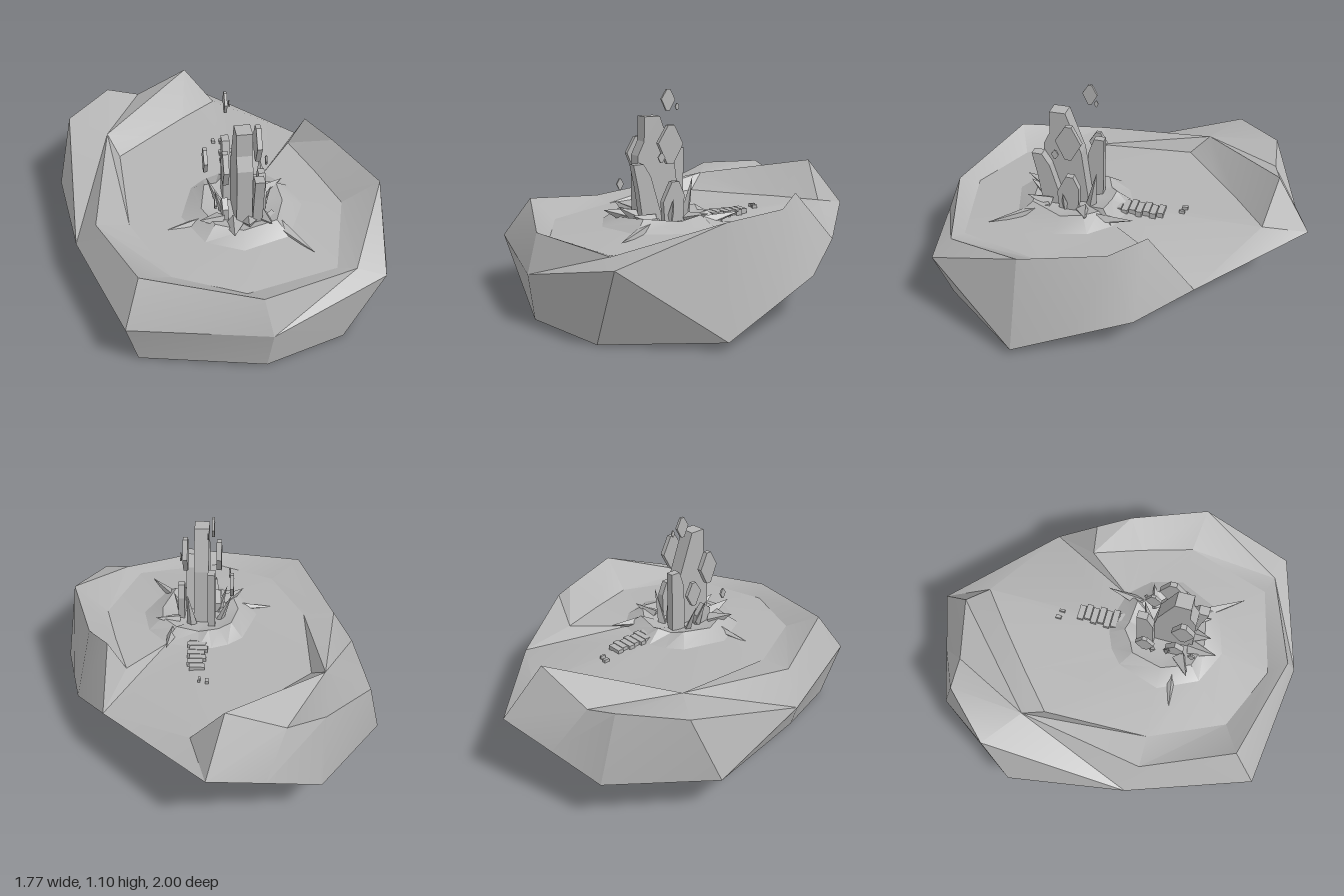
import * as THREE from 'three';
import { toCreasedNormals } from 'three/addons/utils/BufferGeometryUtils.js';

const stone = new THREE.MeshStandardMaterial({ color: 0xb4b4b4, side: THREE.DoubleSide });
stone.name = 'grey stone';

// Loops of thirteen stations: back, left, front, right, back corner
const back = [-0.02, 0.385, -1];
const corner = [0.53, 0.335, -0.505];
const peak = [-0.1, 0.645, -0.815];
const dip = [-0.39, 0.525, -0.77];
const shoulder = [-0.57, 0.585, -0.75];
const ridgeEnd = [-0.59, 0.535, -0.36];
const rightSide = [[0.8, 0.565, 0.305], [0.65, 0.555, -0.1], [0.525, 0.6, -0.265], corner];

const base = [back, back, [-0.3, 0.308, -0.92], [-0.57, 0.235, -0.845], [-0.885, 0.205, -0.38],
  [-0.665, 0.055, 0.38], [-0.52, 0, 0.82], [0.1, 0.02, 0.965], [0.52, 0, 0.82],
  [0.885, 0.04, 0.345], [0.8, 0.13, 0.05], [0.715, 0.22, -0.245], corner];
const ledge = [back, peak, dip, shoulder, [-0.8, 0.56, -0.51], [-0.795, 0.28, 0.255],
  [-0.57, 0.295, 0.9], [0.12, 0.255, 1], [0.705, 0.39, 0.81], ...rightSide];
const rim = [back, peak, dip, shoulder, ridgeEnd, [-0.68, 0.44, 0.3],
  [-0.49, 0.5, 0.77], [0.08, 0.445, 0.935], [0.567, 0.415, 0.767], ...rightSide];
const crest = rim.map((p) => (p === dip || p === shoulder ? ridgeEnd : p));
const foot = [back, [0.066, 0.435, -0.765], [-0.14, 0.44, -0.6], [-0.34, 0.44, -0.43], [-0.53, 0.445, -0.26],
  [-0.51, 0.42, 0.3], [-0.33, 0.405, 0.69], [0.015, 0.4, 0.845], [0.48, 0.395, 0.73],
  [0.615, 0.42, 0.275], [0.53, 0.43, 0], [0.435, 0.44, -0.265], corner];
const floorEdge = foot.slice(1);

// Ring round the mound, turned toward the stations of the floor edge
const cx = 0.08, cz = 0.26;
const moundRing = (r, y, wave) => floorEdge.map(([x, , z], i) => {
  const d = Math.hypot(x - cx, z - cz), s = i % 2 ? wave : -wave;
  return [cx + ((x - cx) / d) * (r + s), y + s, cz + ((z - cz) / d) * (r + s)];
});

// Triangle strip between two loops; listed stations use the other diagonal
function strip(outer, inner, closed, flipped = []) {
  const out = [];
  const add = (a, b, c) => {
    if (a !== b && b !== c && a !== c) out.push(...a, ...b, ...c);
  };
  const n = outer.length;
  for (let i = 0; i < (closed ? n : n - 1); i++) {
    const j = (i + 1) % n;
    if (flipped.includes(i)) {
      add(outer[i], outer[j], inner[i]);
      add(outer[j], inner[j], inner[i]);
    } else {
      add(outer[i], outer[j], inner[j]);
      add(outer[i], inner[j], inner[i]);
    }
  }
  return out;
}

function surface(name, positions, crease = 0.45) {
  const g = new THREE.BufferGeometry();
  g.setAttribute('position', new THREE.Float32BufferAttribute(positions, 3));
  const mesh = new THREE.Mesh(toCreasedNormals(g, crease), stone);
  mesh.name = name;
  return mesh;
}

// Slab with a (z, y) outline, w thick across x
function slab(name, x, w, outline) {
  const shape = new THREE.Shape(outline.map(([z, y]) => new THREE.Vector2(z, y)));
  const g = new THREE.ExtrudeGeometry(shape, { depth: w, bevelEnabled: false });
  g.rotateY(-Math.PI / 2).translate(x + w / 2, 0, 0);
  const mesh = new THREE.Mesh(g, stone);
  mesh.name = name;
  return mesh;
}

// Flat-sided spike running from one point to another
function spike(name, from, to, radius) {
  const a = new THREE.Vector3(...from), b = new THREE.Vector3(...to);
  const dir = b.clone().sub(a);
  const g = new THREE.ConeGeometry(radius, dir.length(), 4).toNonIndexed();
  g.computeVertexNormals();
  const mesh = new THREE.Mesh(g, stone);
  mesh.position.copy(a).add(b).multiplyScalar(0.5);
  mesh.quaternion.setFromUnitVectors(new THREE.Vector3(0, 1, 0), dir.normalize());
  mesh.name = name;
  return mesh;
}

export function createModel() {
  const model = new THREE.Group();
  model.name = 'rockIsland';

  // Open-bottomed rock shell
  model.add(surface('outerWall', strip(base, ledge, false, [7, 8, 9, 10, 11])));
  model.add(surface('rimTop', [...strip(ledge, rim, false, [4]),
    ...shoulder, ...ridgeEnd, ...dip, ...dip, ...ridgeEnd, ...peak]));
  model.add(surface('innerSlope', strip(crest, foot, false)));

  // Floor and central mound with a sunken middle
  const low = moundRing(0.32, 0.425, 0), high = moundRing(0.225, 0.475, 0.01);
  const pit = moundRing(0.13, 0.445, 0);
  const centre = pit.map(() => [cx, 0.44, cz]);
  model.add(surface('floor', [...strip(floorEdge, low, true), ...corner, ...back, ...floorEdge[0]]));
  model.add(surface('mound', [...strip(low, high, true), ...strip(high, pit, true), ...strip(pit, centre, true)]));

  // Standing crystals
  const crystals = new THREE.Group();
  crystals.name = 'standingCrystals';
  crystals.add(
    slab('mainCrystal', 0.07, 0.08, [[0.41, 0.4], [0.16, 0.4], [0.2, 0.75], [0.28, 0.975], [0.365, 0.975], [0.37, 0.85], [0.405, 0.78]]),
    slab('backCrystal', 0.01, 0.04, [[0.2, 0.4], [0.11, 0.4], [0.1, 0.795], [0.155, 0.795], [0.19, 0.7]]),
    slab('frontCrystal', 0.138, 0.05, [[0.4, 0.4], [0.28, 0.4], [0.36, 0.68], [0.4, 0.745], [0.455, 0.745], [0.43, 0.62]]),
    slab('rightCrystal', 0.182, 0.035, [[0.3, 0.4], [0.2, 0.4], [0.19, 0.58], [0.22, 0.65], [0.26, 0.65], [0.31, 0.55]]),
    slab('lowCrystal', -0.02, 0.03, [[0.36, 0.4], [0.27, 0.4], [0.27, 0.5], [0.32, 0.56], [0.37, 0.52]]));
  model.add(crystals);

  // Floating hexagonal stones: x, y, z, width, half depth, half height
  const floating = new THREE.Group();
  floating.name = 'floatingStones';
  for (const [x, y, z, w, d, h] of [
    [0.157, 0.835, 0.25, 0.026, 0.07, 0.098], [-0.022, 0.772, 0.35, 0.028, 0.06, 0.092],
    [-0.1, 0.697, 0.17, 0.02, 0.05, 0.068], [0.19, 0.775, 0.315, 0.008, 0.02, 0.025],
    [0.002, 1.045, 0.178, 0.014, 0.04, 0.055], [0.028, 1.01, 0.138, 0.006, 0.012, 0.018],
    [-0.08, 0.61, 0.42, 0.01, 0.02, 0.028]]) {
    floating.add(slab('floatingStone', x, w, [[z + d * 0.3, y - h], [z - d * 0.2, y - h], [z - d, y],
      [z - d * 0.3, y + h], [z + d * 0.2, y + h], [z + d, y + h * 0.1]]));
  }
  model.add(floating);

  // Shards splayed round the mound: base, tip, radius
  const shards = new THREE.Group();
  shards.name = 'groundShards';
  for (const [from, to, r] of [
    [[-0.1, 0.44, 0.33], [-0.355, 0.415, 0.375], 0.03], [[0.2, 0.44, 0.36], [0.39, 0.42, 0.635], 0.045],
    [[0.22, 0.43, 0.08], [0.24, 0.47, -0.12], 0.035], [[0.2, 0.45, 0.17], [0.32, 0.495, 0.12], 0.04],
    [[-0.05, 0.45, 0.36], [-0.16, 0.51, 0.42], 0.045],
    [[0.02, 0.45, 0.4], [0, 0.5, 0.55], 0.05], [[0.1, 0.45, 0.38], [0.08, 0.52, 0.5], 0.05],
    [[0.17, 0.45, 0.36], [0.2, 0.5, 0.48], 0.045], [[0.18, 0.43, 0.27], [0.23, 0.57, 0.27], 0.025],
    [[-0.02, 0.43, 0.28], [-0.07, 0.6, 0.3], 0.022], [[-0.03, 0.43, 0.2], [-0.1, 0.61, 0.2], 0.022],
    [[0.12, 0.43, 0.15], [0.14, 0.66, 0.11], 0.03]]) shards.add(spike('groundShard', from, to, r));
  model.add(shards);

  // Row of stepping slabs leading to the mound
  const steps = new THREE.Group();
  steps.name = 'steppingSlabs';
  const addStep = (x, z, w, d) => {
    const m = new THREE.Mesh(new THREE.BoxGeometry(w, 0.034, d), stone);
    m.position.set(x, 0.43, z);
    m.name = 'steppingSlab';
    steps.add(m);
  };
  for (let i = 0; i < 7; i++) {
    addStep(0.075 + (i % 2 ? 0.006 : -0.006), -i * 0.038, 0.105 - i * 0.004, 0.034);
  }
  addStep(0.01, -0.345, 0.018, 0.03);
  addStep(0.05, -0.335, 0.012, 0.03);
  model.add(steps);

  return model;
}
